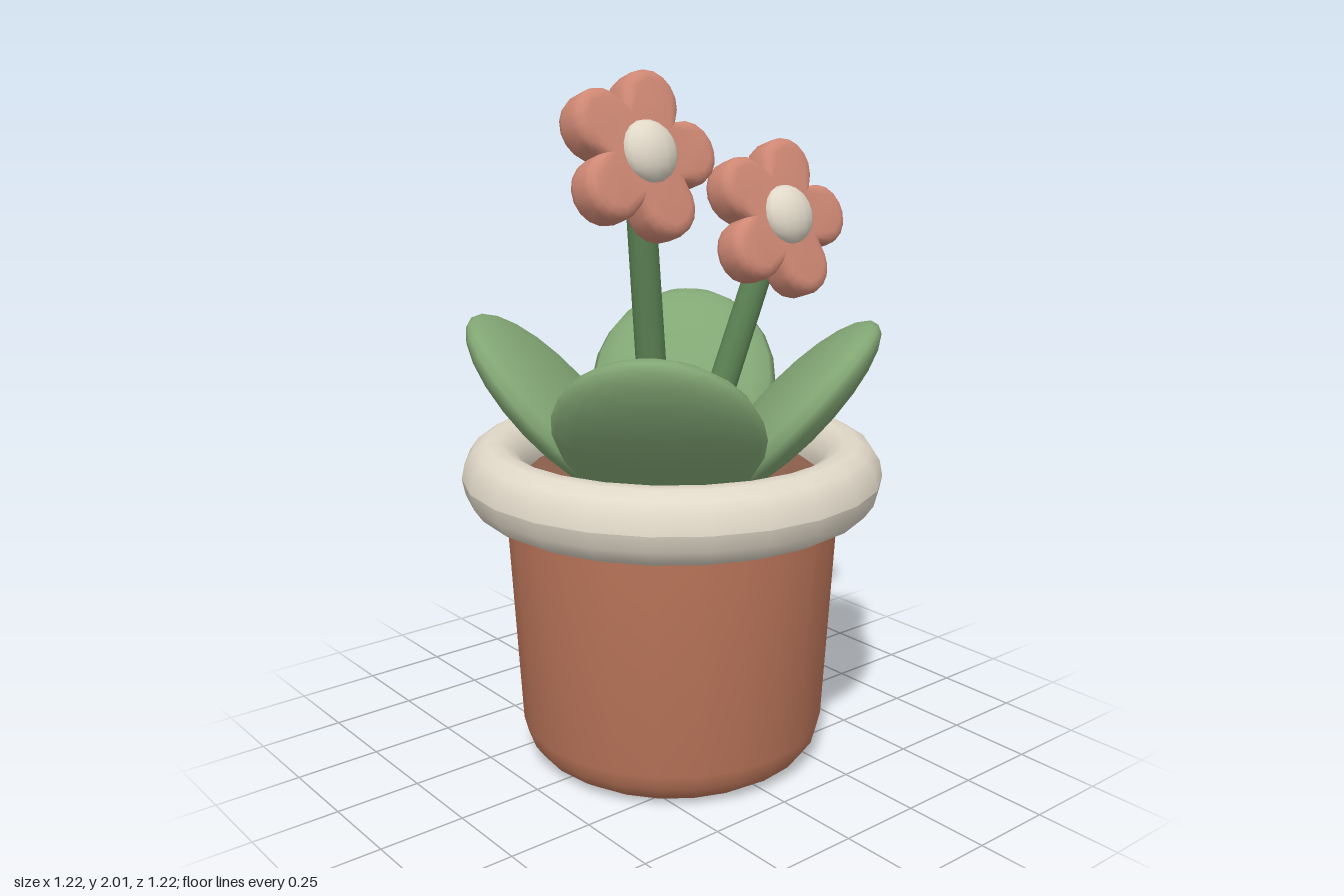
import * as THREE from 'three';
import { toCreasedNormals } from 'three/addons/utils/BufferGeometryUtils.js';

const mat = (color) => new THREE.MeshStandardMaterial({ color });
const clay = mat(0xbc765a), cream = mat(0xe0d8c8), earth = mat(0x8a5f4a);
const leafGreen = mat(0x82a674), stemGreen = mat(0x5f8757), petalPink = mat(0xcf8874);

function add(parent, name, geometry, material) {
  const mesh = new THREE.Mesh(geometry, material);
  mesh.name = name;
  parent.add(mesh);
  return mesh;
}

// Five round petals joined into one bevelled slab, facing +z
function blossomGeometry() {
  const r = 0.09, d = 0.145, bevel = 0.03, depth = 0.05;
  const half = Math.PI / 5;
  const reach = Math.PI - Math.acos(Math.min(1, d * Math.sin(half) / r)) - (Math.PI / 2 - half);
  const points = [];
  for (let i = 0; i < 5; i++) {
    const a = THREE.MathUtils.degToRad(70 + 72 * i);
    for (let k = 0; k < 10; k++) {
      const t = a + reach * (k / 5 - 1);
      points.push(new THREE.Vector2(
        d * Math.cos(a) + r * Math.cos(t),
        d * Math.sin(a) + r * Math.sin(t)));
    }
  }
  const geometry = new THREE.ExtrudeGeometry(new THREE.Shape(points), {
    depth, steps: 1, bevelEnabled: true, bevelThickness: bevel,
    bevelSize: bevel, bevelOffset: -bevel, bevelSegments: 3,
  });
  geometry.translate(0, 0, -depth / 2);
  return toCreasedNormals(geometry, 0.65);
}

// Straight stem between two points
function addStem(parent, from, to) {
  const dir = to.clone().sub(from);
  const stem = add(parent, 'stem', new THREE.CylinderGeometry(0.04, 0.045, dir.length(), 12), stemGreen);
  stem.position.copy(from).addScaledVector(dir, 0.5);
  stem.quaternion.setFromUnitVectors(new THREE.Vector3(0, 1, 0), dir.normalize());
}

export function createModel() {
  const model = new THREE.Group();
  model.name = 'pottedPlant';

  // Tapered pot with a rounded foot
  const profile = [[0, 0], [0.37, 0], [0.415, 0.03], [0.44, 0.065], [0.452, 0.11], [0.487, 0.76], [0.492, 0.87]]
    .map(([x, y]) => new THREE.Vector2(x, y));
  add(model, 'pot', toCreasedNormals(new THREE.LatheGeometry(profile, 24), 0.5), clay);

  // Thick rolled rim
  const rimProfile = [];
  for (let i = 0; i <= 14; i++) {
    const a = (i / 14) * Math.PI * 2;
    rimProfile.push(new THREE.Vector2(0.52 + 0.092 * Math.cos(a), 0.865 + 0.105 * Math.sin(a)));
  }
  add(model, 'rim', new THREE.LatheGeometry(rimProfile, 24), cream);

  // Soil surface
  const soil = add(model, 'soil', new THREE.CylinderGeometry(0.46, 0.46, 0.06, 24), earth);
  soil.position.y = 0.83;

  // Four flattened leaves leaning out along the diagonals
  const leafGeometry = new THREE.SphereGeometry(1, 18, 12).scale(0.29, 0.345, 0.09);
  for (let i = 0; i < 4; i++) {
    const pivot = new THREE.Group();
    pivot.name = 'leafPivot';
    pivot.rotation.y = Math.PI / 4 + (i * Math.PI) / 2;
    const leaf = add(pivot, 'leaf', leafGeometry, leafGreen);
    leaf.position.set(0, 1.055, 0.35);
    leaf.rotation.x = THREE.MathUtils.degToRad(43);
    model.add(pivot);
  }

  // Two flowers tipped slightly upwards on leaning stems
  const petals = blossomGeometry();
  const flowers = [
    { name: 'rightFlower', base: [-0.05, 0.83, 0], head: [-0.207, 1.783, 0.11] },
    { name: 'leftFlower', base: [0.08, 0.83, 0], head: [0.262, 1.592, 0.145] },
  ];
  for (const { name, base, head } of flowers) {
    const flower = new THREE.Group();
    flower.name = name;
    addStem(flower, new THREE.Vector3(...base), new THREE.Vector3(...head));
    const blossom = new THREE.Group();
    blossom.name = 'blossom';
    blossom.position.set(...head);
    blossom.rotation.x = -0.33;
    add(blossom, 'petals', petals, petalPink);
    const centre = add(blossom, 'flowerCentre', new THREE.SphereGeometry(0.085, 14, 10), cream);
    centre.scale.z = 0.65;
    centre.position.z = 0.05;
    flower.add(blossom);
    model.add(flower);
  }
  return model;
}
